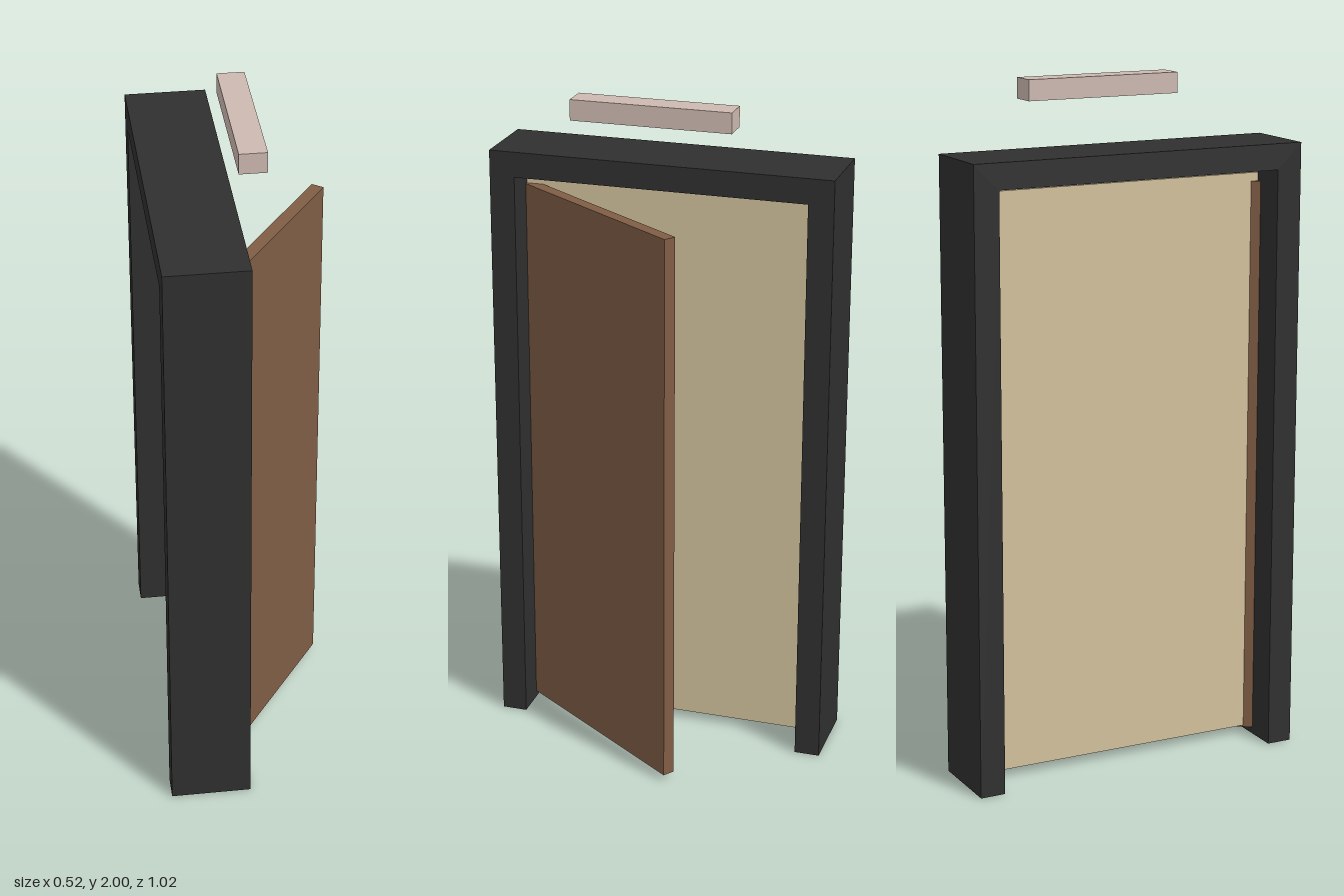
import * as THREE from 'three';

const material = (name, color) => {
  const m = new THREE.MeshStandardMaterial({ color });
  m.name = name;
  return m;
};

export function createModel() {
  const group = new THREE.Group();
  group.name = 'doorway';
  const charcoal = material('charcoal', 0x2f2f2f);
  const brown = material('brownWood', 0x805d45);
  const tan = material('tan', 0xd2c19c);
  const blush = material('paleBlush', 0xcdb9b0);

  const add = (name, geometry, mat, x, y, z) => {
    const mesh = new THREE.Mesh(geometry, mat);
    mesh.name = name;
    mesh.position.set(x, y, z);
    group.add(mesh);
    return mesh;
  };

  // Frame: two posts and a lintel, open at the floor
  const outer = 0.51, inner = 0.435, top = 1.81, lintel = 1.735;
  const outline = new THREE.Shape([
    [-outer, 0], [-inner, 0], [-inner, lintel], [inner, lintel],
    [inner, 0], [outer, 0], [outer, top], [-outer, top],
  ].map(([a, b]) => new THREE.Vector2(a, b)));
  const frame = new THREE.ExtrudeGeometry(outline, { depth: 0.235, bevelEnabled: false });
  frame.rotateY(Math.PI / 2);
  add('frame', frame, charcoal, -0.262, 0, 0);

  // Fixed panel filling the opening
  add('backPanel', new THREE.BoxGeometry(0.02, 1.69, 0.87), tan, -0.14, 0.87, 0);

  // Door leaf standing ajar, its hinge edge set into the post
  const door = add('door', new THREE.BoxGeometry(0.037, 1.67, 0.694), brown, 0.045, 0.855, 0.166);
  door.rotation.y = THREE.MathUtils.degToRad(-35);

  // Bar floating above the doorway
  add('overheadBar', new THREE.BoxGeometry(0.078, 0.06, 0.47), blush, 0.012, 1.97, 0);

  return group;
}
